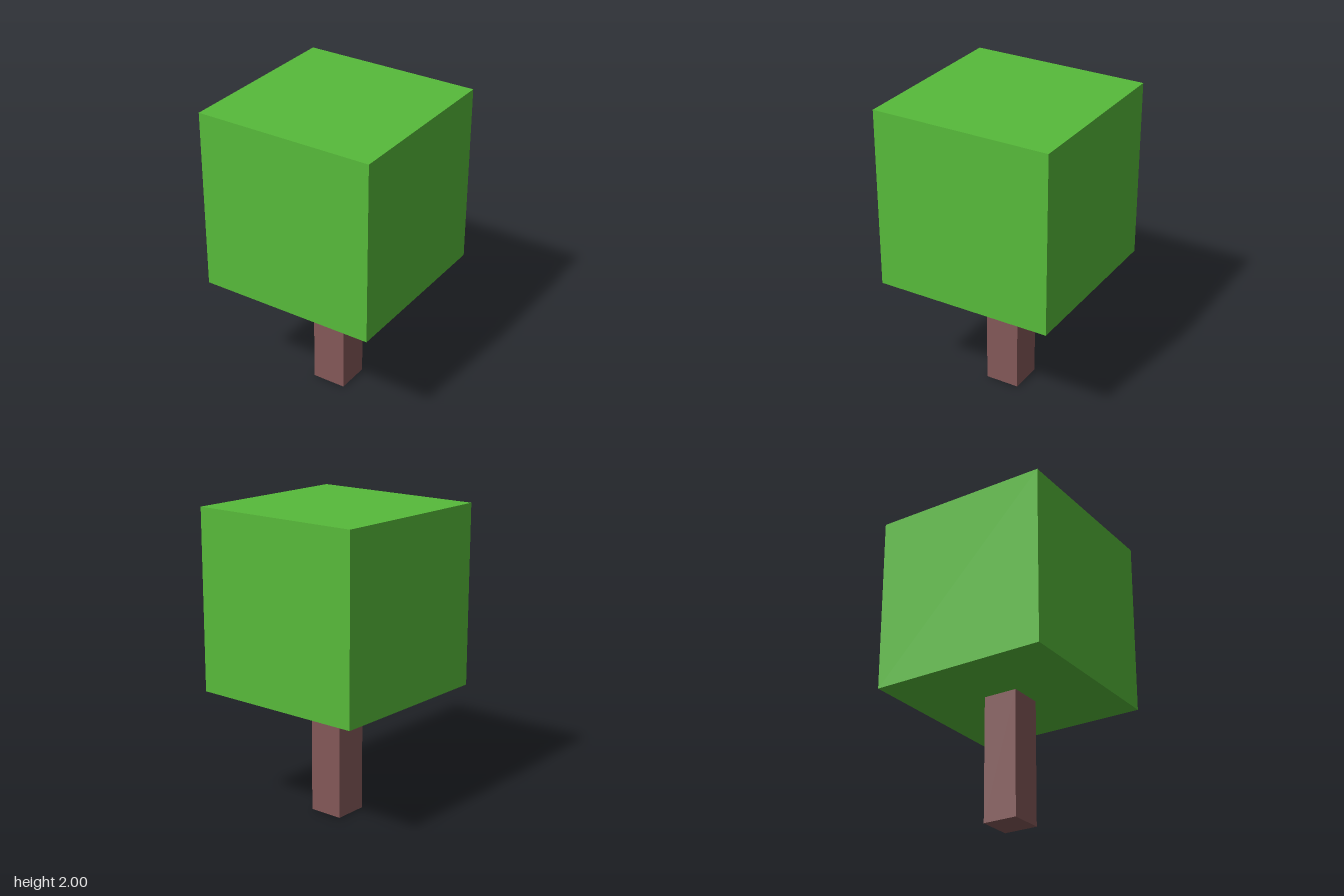
import * as THREE from 'three';

const leafGreen = new THREE.MeshStandardMaterial({ color: 0x57ba3a });
leafGreen.name = 'leafGreen';
const barkBrown = new THREE.MeshStandardMaterial({ color: 0x835858 });
barkBrown.name = 'barkBrown';

// Square block of the given width, spanning bottom to top
function block(name, width, bottom, top, material) {
  const mesh = new THREE.Mesh(new THREE.BoxGeometry(width, top - bottom, width), material);
  mesh.name = name;
  mesh.position.y = (bottom + top) / 2;
  return mesh;
}

export function createModel() {
  const tree = new THREE.Group();
  tree.name = 'tree';
  const crownBottom = 0.825;

  // Square trunk, meeting the underside of the crown
  tree.add(block('trunk', 0.23, 0, crownBottom, barkBrown));

  // Cubic leafy crown
  tree.add(block('crown', 1.175, crownBottom, 2, leafGreen));

  return tree;
}
